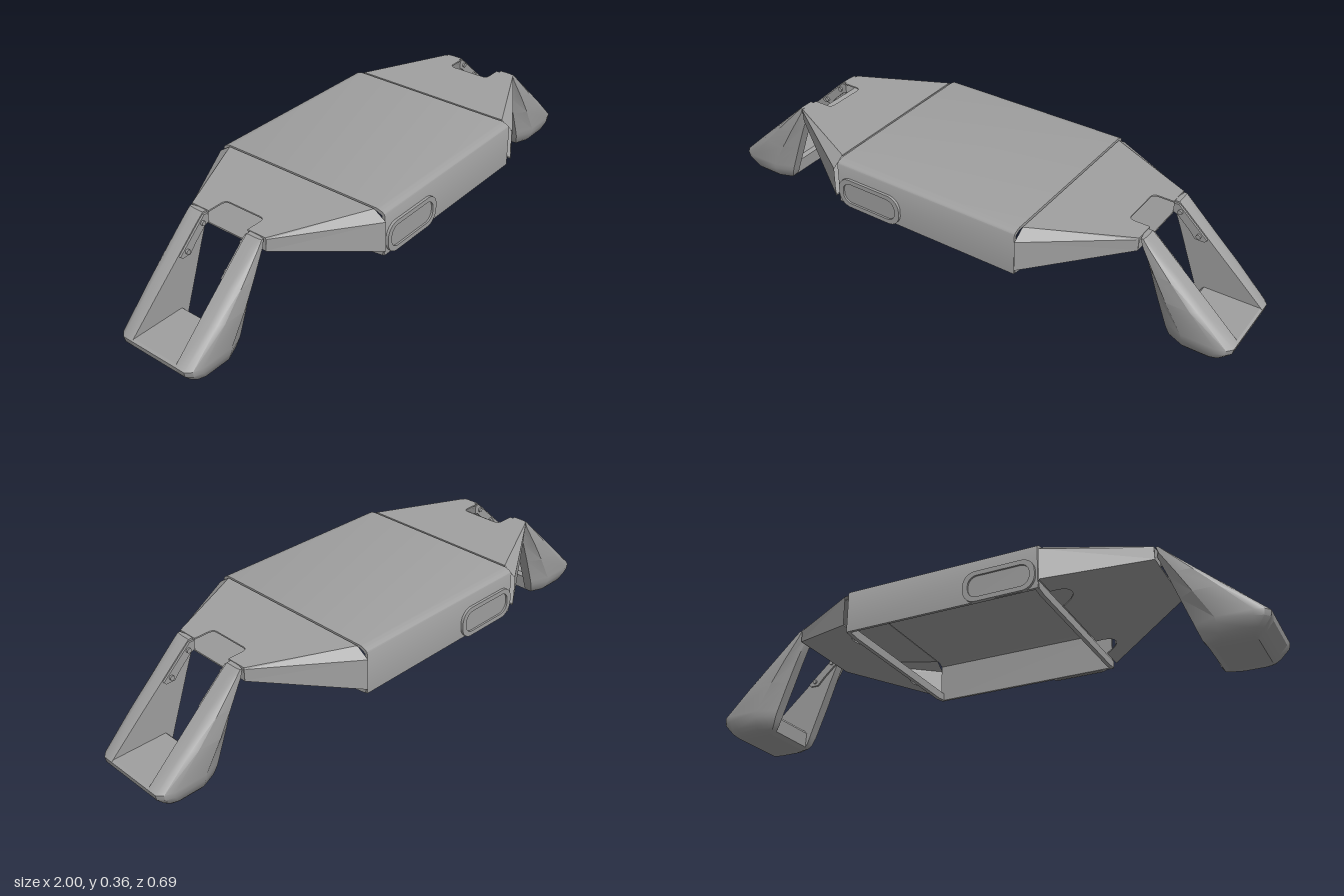
import * as THREE from 'three';
import { toCreasedNormals } from 'three/addons/utils/BufferGeometryUtils.js';

const grey = new THREE.MeshStandardMaterial({ color: 0xa0a0a0, side: THREE.DoubleSide });
grey.name = 'plain grey';

function add(parent, name, geometry) {
  const mesh = new THREE.Mesh(geometry, grey);
  mesh.name = name;
  parent.add(mesh);
  return mesh;
}

const polygon = (points) => new THREE.Shape(points.map(([a, b]) => new THREE.Vector2(a, b)));

// Extrusion of an x-y outline, centred on z
function extrudeZ(shape, depth) {
  return new THREE.ExtrudeGeometry(shape, { depth, bevelEnabled: false, curveSegments: 8 }).translate(0, 0, -depth / 2);
}

// Extrusion of a z-y outline along x (outlines are symmetric in z)
const extrudeX = (shape, depth) => extrudeZ(shape, depth).rotateY(Math.PI / 2);

// Thin sheet from an x-z outline, raised by a height rule
function sheet(shape, height, thickness = 0.005) {
  const g = new THREE.ExtrudeGeometry(shape, { depth: thickness, bevelEnabled: false, curveSegments: 10 });
  g.rotateX(Math.PI / 2);
  const p = g.attributes.position;
  for (let i = 0; i < p.count; i++) p.setY(i, p.getY(i) + height(p.getX(i)));
  g.computeVertexNormals();
  return g;
}

// Flat four-cornered face
function quad(a, b, c, d) {
  const g = new THREE.BufferGeometry();
  g.setAttribute('position', new THREE.Float32BufferAttribute([a, b, c, a, c, d].flat(), 3));
  g.computeVertexNormals();
  return g;
}

// Closed loft through rings with equal point counts
function loft(rings) {
  const n = rings[0].length, index = [];
  for (let r = 0; r < rings.length - 1; r++) {
    for (let i = 0; i < n; i++) {
      const a = r * n + i, b = r * n + (i + 1) % n;
      index.push(a, b, a + n, b, b + n, a + n);
    }
  }
  const last = (rings.length - 1) * n;
  for (let i = 1; i < n - 1; i++) index.push(0, i + 1, i, last, last + i, last + i + 1);
  const g = new THREE.BufferGeometry();
  g.setAttribute('position', new THREE.Float32BufferAttribute(rings.flat(2), 3));
  g.setIndex(index);
  return toCreasedNormals(g, 0.6);
}

// Rounded slot outline
function slot(Type, x, y, w, h, r) {
  const s = new Type(), l = x - w / 2, b = y - h / 2;
  s.moveTo(l + r, b);
  s.lineTo(l + w - r, b);
  s.absarc(l + w - r, b + r, r, -Math.PI / 2, 0);
  s.lineTo(l + w, b + h - r);
  s.absarc(l + w - r, b + h - r, r, 0, Math.PI / 2);
  s.lineTo(l + r, b + h);
  s.absarc(l + r, b + h - r, r, Math.PI / 2, Math.PI);
  s.lineTo(l, b + r);
  s.absarc(l + r, b + r, r, Math.PI, Math.PI * 1.5);
  return s;
}

function makeBody() {
  const body = new THREE.Group();
  body.name = 'centreBody';

  // Channel-shaped shell, open below
  const shell = new THREE.Shape();
  shell.moveTo(0.335, 0.2);
  shell.lineTo(0.335, 0.342);
  shell.quadraticCurveTo(0.334, 0.355, 0.305, 0.36);
  shell.lineTo(-0.305, 0.36);
  shell.quadraticCurveTo(-0.334, 0.355, -0.335, 0.342);
  shell.lineTo(-0.335, 0.2);
  shell.lineTo(-0.325, 0.2);
  shell.lineTo(-0.325, 0.34);
  shell.lineTo(-0.305, 0.35);
  shell.lineTo(0.305, 0.35);
  shell.lineTo(0.325, 0.34);
  shell.lineTo(0.325, 0.2);
  add(body, 'centreShell', toCreasedNormals(extrudeX(shell, 0.694), 0.5));

  // Cross bars under both ends of the shell
  for (const x of [-0.342, 0.342]) {
    const bar = polygon([[-0.335, 0.226], [0.335, 0.226], [0.328, 0.2], [0.29, 0.195], [-0.29, 0.195], [-0.328, 0.2]]);
    add(body, 'crossBar', extrudeX(bar, 0.014)).position.x = x;
  }

  // Raised slot-shaped frame on each long side
  for (const s of [-1, 1]) {
    const ring = slot(THREE.Shape, -0.215, 0.252, 0.25, 0.108, 0.045);
    ring.holes.push(slot(THREE.Path, -0.215, 0.252, 0.214, 0.076, 0.032));
    add(body, 'slotFrame', extrudeZ(ring, 0.01)).position.z = s * 0.339;
    add(body, 'slotPanel', extrudeZ(slot(THREE.Shape, -0.215, 0.252, 0.214, 0.076, 0.032), 0.006)).position.z = s * 0.3345;
  }
  return body;
}

function makeWing() {
  const wing = new THREE.Group();
  wing.name = 'taperedEnd';
  const x0 = 0.354, x1 = 0.667;

  // Top with a rounded notch at the tip
  const top = polygon([[x0, -0.3], [x0, 0.3], [x1, 0.15], [x1, 0.08], [0.615, 0.08]]);
  top.quadraticCurveTo(0.595, 0.08, 0.595, 0.06);
  top.lineTo(0.595, -0.06);
  top.quadraticCurveTo(0.595, -0.08, 0.615, -0.08);
  top.lineTo(x1, -0.08);
  top.lineTo(x1, -0.15);
  add(wing, 'endTop', sheet(top, () => 0.36));

  // Sloping underside with two curved cut-outs
  const under = new THREE.Shape();
  under.moveTo(x0, -0.345);
  for (const z of [-0.2, 0.2]) {
    under.lineTo(x0, z - 0.055);
    under.bezierCurveTo(x0 + 0.07, z - 0.03, x0 + 0.07, z + 0.03, x0, z + 0.055);
  }
  under.lineTo(x0, 0.345);
  under.lineTo(x1, 0.15);
  under.lineTo(x1, -0.15);
  add(wing, 'endUnderside', sheet(under, (x) => 0.228 + (x - x0) / (x1 - x0) * 0.09));

  // Chamfers, side walls and tip walls
  for (const s of [-1, 1]) {
    add(wing, 'endChamfer', quad([x0, 0.36, s * 0.3], [x0, 0.33, s * 0.345], [x1, 0.355, s * 0.152], [x1, 0.36, s * 0.15]));
    add(wing, 'endSideWall', quad([x0, 0.33, s * 0.345], [x0, 0.225, s * 0.345], [x1, 0.315, s * 0.15], [x1, 0.355, s * 0.152]));
    add(wing, 'tipWall', quad([x1, 0.36, s * 0.08], [x1, 0.315, s * 0.088], [x1, 0.315, s * 0.15], [x1, 0.36, s * 0.15]));
  }
  return wing;
}

function makeLeg() {
  const leg = new THREE.Group();
  leg.name = 'leg';

  // Struts widen downwards: height, inner x, outer x, outer z
  const sections = [
    [0.358, 0.667, 0.682, 0.147], [0.335, 0.667, 0.709, 0.15], [0.25, 0.7, 0.802, 0.157],
    [0.17, 0.729, 0.89, 0.16], [0.07, 0.766, 0.998, 0.157], [0.05, 0.773, 0.994, 0.155],
    [0.02, 0.784, 0.968, 0.143], [0.008, 0.793, 0.956, 0.132], [0, 0.812, 0.945, 0.115],
  ];
  const rings = sections.map(([y, a, b, z]) => {
    const w = b - a, zi = 0.09, d = (z - zi) * 0.45;
    return [[a, zi], [b, zi], [b, z - d], [b - w * 0.07, z - d * 0.35], [b - w * 0.2, z],
      [a + w * 0.3, z], [a, z - d]].map(([x, zz]) => [x, y, zz]);
  });
  const strut = loft(rings);
  const clip = polygon([[0.667, 0.352], [0.684, 0.352], [0.79, 0.256], [0.782, 0.247], [0.75, 0.247], [0.725, 0.275], [0.682, 0.315], [0.667, 0.32]]);
  const pin = new THREE.CylinderGeometry(0.008, 0.008, 0.008, 16).rotateX(Math.PI / 2);
  for (const s of [-1, 1]) {
    add(leg, 'legStrut', strut).scale.z = s;
    add(leg, 'hingeClip', extrudeZ(clip, 0.008)).position.z = s * 0.087;
    for (const [x, y] of [[0.692, 0.328], [0.762, 0.263]]) add(leg, 'clipPin', pin).position.set(x, y, s * 0.08);
  }

  // Foot joining the two struts
  const foot = polygon([[0.812, 0], [0.945, 0], [0.956, 0.008], [0.968, 0.02], [0.994, 0.05], [0.998, 0.07], [0.99, 0.075],
    [0.8, 0.072], [0.79, 0.06], [0.793, 0.008]]);
  add(leg, 'foot', extrudeZ(foot, 0.184));
  return leg;
}

export function createModel() {
  const model = new THREE.Group();
  model.name = 'leggedShell';
  model.add(makeBody());
  for (const s of [1, -1]) {
    const end = new THREE.Group();
    end.name = s > 0 ? 'leftEnd' : 'rightEnd';
    end.add(makeWing(), makeLeg());
    end.scale.x = s;
    model.add(end);
  }
  return model;
}
